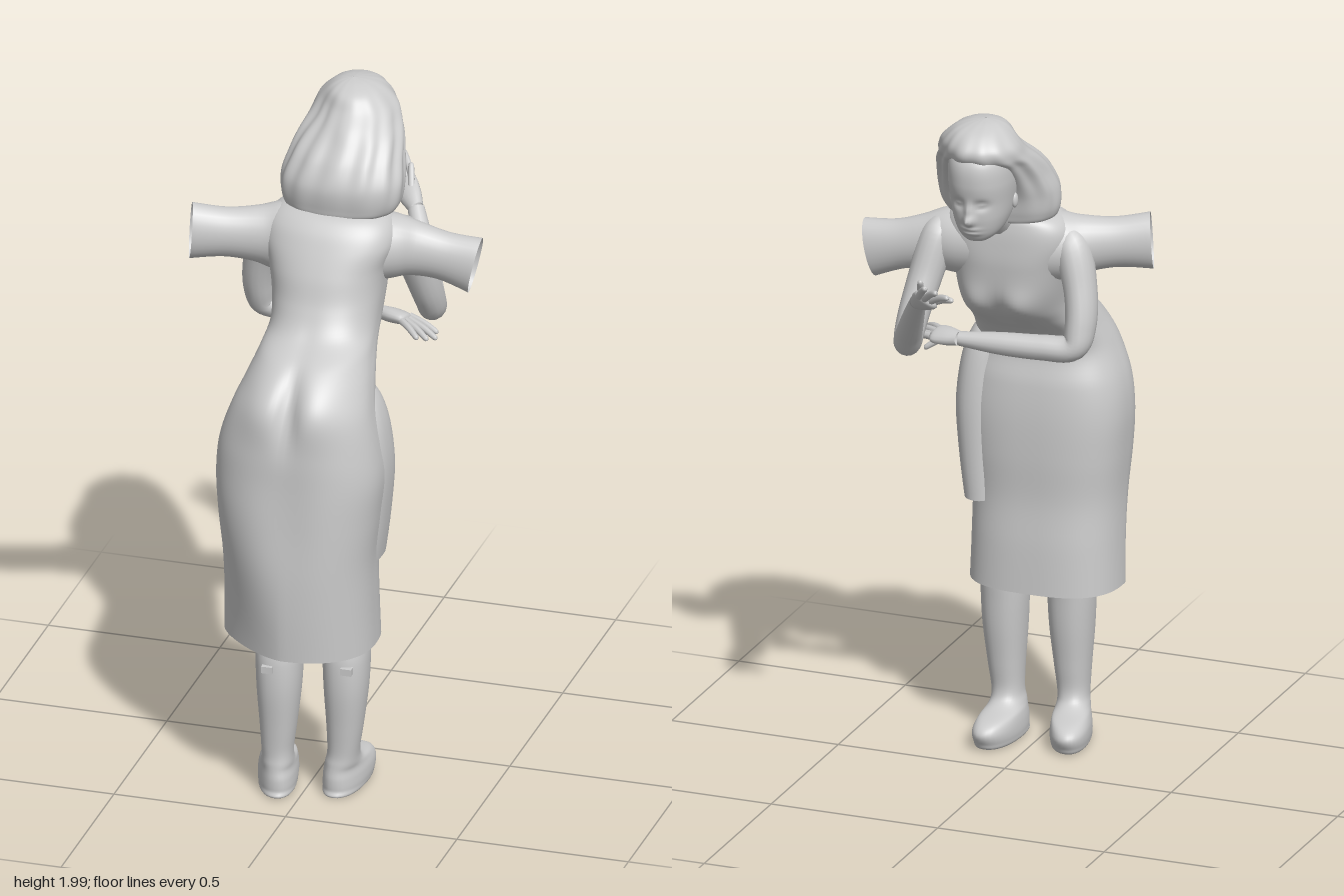
import * as THREE from 'three';

const mat = new THREE.MeshStandardMaterial({ color: 0xcccccc, side: THREE.DoubleSide });
const bell = (v, c, w) => Math.exp(-(((v - c) / w) ** 2));

// Smooth interpolation through rows of numbers, t in 0..1
function sample(rows, t) {
  const f = t * (rows.length - 1);
  const i = Math.min(Math.floor(f), rows.length - 2);
  const k = f - i;
  const at = (n) => rows[Math.max(0, Math.min(rows.length - 1, n))];
  return rows[0].map((_, c) => {
    const [a, b, d, e] = [at(i - 1)[c], at(i)[c], at(i + 1)[c], at(i + 2)[c]];
    return b + 0.5 * k * (d - a + k * (2 * a - 5 * b + 4 * d - e + k * (3 * (b - d) + e - a)));
  });
}

// Closed-ring surface: point(t, angle) -> [x, y, z]
function rings(name, steps, sides, point) {
  const pos = [], idx = [];
  for (let i = 0; i <= steps; i++) {
    for (let j = 0; j < sides; j++) {
      pos.push(...point(i / steps, (j / sides) * Math.PI * 2));
      if (i === steps) continue;
      const a = i * sides + j, b = i * sides + ((j + 1) % sides);
      idx.push(a, a + sides, b, b, a + sides, b + sides);
    }
  }
  const geo = new THREE.BufferGeometry();
  geo.setAttribute('position', new THREE.Float32BufferAttribute(pos, 3));
  geo.setIndex(idx);
  geo.computeVertexNormals();
  const mesh = new THREE.Mesh(geo, mat);
  mesh.name = name;
  return mesh;
}

// Stacked horizontal sections [y, xMin, xMax, zMin, zMax]; a lower power squares off the -z or +z half
function stack(name, rows, { steps = 60, sides = 48, power = 0.9, facePower = power, rule = null } = {}) {
  return rings(name, steps, sides, (t, a) => {
    const [y, x0, x1, z0, z1] = sample(rows, t);
    const e = Math.sin(a) < 0 ? facePower : power;
    const round = (v) => Math.sign(v) * Math.abs(v) ** e;
    const p = [(x0 + x1) / 2 + round(Math.cos(a)) * (x1 - x0) / 2, y,
      (z0 + z1) / 2 + round(Math.sin(a)) * (z1 - z0) / 2];
    if (rule) rule(p, a);
    return p;
  });
}

// Tapered limb through [x, y, z, radius along hint, radius across]
function limb(name, rows, hint, steps = 28, sides = 16) {
  return rings(name, steps, sides, (t, a) => {
    const s = sample(rows, t);
    const before = sample(rows, Math.max(0, t - 0.01)), after = sample(rows, Math.min(1, t + 0.01));
    const T = new THREE.Vector3(...[0, 1, 2].map((c) => after[c] - before[c])).normalize();
    const N = new THREE.Vector3(...hint).addScaledVector(T, -T.dot(new THREE.Vector3(...hint))).normalize();
    const B = new THREE.Vector3().crossVectors(T, N);
    return new THREE.Vector3(s[0], s[1], s[2])
      .addScaledVector(N, Math.cos(a) * s[3]).addScaledVector(B, -Math.sin(a) * s[4]).toArray();
  });
}

function hand(name, wrist, knuckles, tips, thumb, hint) {
  const g = new THREE.Group();
  g.name = name;
  const mix = (a, b, k) => a.map((v, i) => v + (b[i] - v) * k);
  g.add(limb('palm', [[...wrist, 0.022, 0.02], [...mix(wrist, knuckles, 0.5), 0.034, 0.021],
    [...knuckles, 0.035, 0.016], [...mix(wrist, knuckles, 1.12), 0.004, 0.004]], hint, 14));
  const mid = [0, 1, 2].map((c) => tips.reduce((s, p) => s + p[c], 0) / tips.length);
  const finger = (label, base, tip) => {
    const bend = mix(base, tip, 0.5);
    bend[1] += 0.004;
    g.add(limb(label, [[...base, 0.011, 0.011], [...bend, 0.01, 0.01],
      [...mix(base, tip, 0.92), 0.008, 0.008], [...tip, 0.001, 0.001]], hint, 12, 8));
  };
  tips.forEach((tip) => finger('finger', knuckles.map((v, c) => v + (tip[c] - mid[c]) * 0.5), tip));
  finger('thumb', mix(wrist, knuckles, 0.4), thumb);
  return g;
}

export function createModel() {
  const model = new THREE.Group();
  model.name = 'leaningWoman';

  // Long fitted dress, open at the hem, leaning towards -z
  model.add(stack('dress', [
    [0.485, -0.235, 0.205, 0.127, 0.5], [0.62, -0.232, 0.202, 0.133, 0.508], [0.75, -0.232, 0.203, 0.143, 0.512],
    [0.88, -0.242, 0.217, 0.14, 0.508], [1.0, -0.248, 0.228, 0.142, 0.5], [1.1, -0.237, 0.217, 0.152, 0.492],
    [1.2, -0.203, 0.196, 0.17, 0.472], [1.27, -0.175, 0.178, 0.11, 0.437], [1.33, -0.155, 0.16, 0.03, 0.378],
    [1.38, -0.148, 0.152, -0.025, 0.285], [1.45, -0.158, 0.153, -0.07, 0.238], [1.53, -0.175, 0.16, -0.085, 0.21],
    [1.6, -0.195, 0.182, -0.085, 0.178], [1.65, -0.185, 0.17, -0.08, 0.148], [1.68, -0.14, 0.13, -0.07, 0.11],
    [1.69, -0.05, 0.05, -0.04, 0.05],
  ], {
    steps: 100, sides: 96, facePower: 0.72,
    rule(p, a) {
      const [x, y] = p, s = Math.sin(a);
      if (s > 0) {
        p[2] += s * 0.024 * bell(Math.abs(x + 0.01), 0.085, 0.075) * bell(y, 1.25, 0.1);
        p[2] -= s * 0.024 * bell(x, -0.005, 0.03) * bell(y, 1.24, 0.1);
        p[2] -= s * 0.012 * bell(x, 0, 0.08) * bell(y, 0.9, 0.2);
        // cloth drawn in at the rear right corner towards the hem
        const pull = 0.05 * Math.max(0, -Math.cos(a)) * s * (1 - THREE.MathUtils.smoothstep(y, 0.5, 0.95));
        p[0] += pull;
        p[2] -= pull;
      } else {
        p[2] += s * 0.032 * bell(Math.abs(x), 0.07, 0.06) * bell(y, 1.4, 0.055);
      }
    },
  }));

  // Barely raised panel on the side of the skirt
  model.add(stack('sidePanel', [
    [0.73, 0.1, 0.206, 0.155, 0.33], [0.85, 0.1, 0.222, 0.152, 0.337], [1.0, 0.1, 0.234, 0.152, 0.342],
    [1.12, 0.1, 0.223, 0.162, 0.337], [1.2, 0.1, 0.2, 0.18, 0.31], [1.25, 0.12, 0.17, 0.21, 0.26],
  ], { steps: 20, sides: 32, power: 0.75, facePower: 0.9 }));

  // Wide open sleeves, flaring into the shoulders and at the cuffs
  model.add(limb('leftSleeve', [[0.08, 1.57, 0.025, 0.105, 0.11], [0.16, 1.567, 0, 0.094, 0.085],
    [0.22, 1.558, -0.016, 0.08, 0.062], [0.3, 1.542, -0.026, 0.072, 0.052], [0.39, 1.522, -0.032, 0.085, 0.052]],
  [0, 1, 0], 20, 28));
  model.add(limb('rightSleeve', [[-0.08, 1.575, 0.035, 0.105, 0.11], [-0.16, 1.577, 0.05, 0.098, 0.09],
    [-0.22, 1.583, 0.07, 0.082, 0.064], [-0.3, 1.589, 0.098, 0.073, 0.054], [-0.39, 1.595, 0.13, 0.083, 0.054]],
  [0, 1, 0], 20, 28));

  // Arm reaching forward and up
  model.add(limb('reachingArm', [[0.16, 1.64, -0.01, 0.02, 0.02], [0.185, 1.59, -0.03, 0.05, 0.055],
    [0.21, 1.47, -0.075, 0.047, 0.052], [0.225, 1.37, -0.125, 0.043, 0.05], [0.222, 1.315, -0.172, 0.04, 0.043],
    [0.195, 1.365, -0.225, 0.037, 0.041], [0.155, 1.44, -0.295, 0.031, 0.033], [0.115, 1.512, -0.362, 0.024, 0.022]],
  [1, 0, 0], 48));
  model.add(hand('reachingHand', [0.115, 1.512, -0.362], [0.06, 1.552, -0.432],
    [[-0.022, 1.565, -0.442], [-0.022, 1.585, -0.478], [0, 1.608, -0.51], [0.035, 1.615, -0.505]],
    [0.075, 1.61, -0.445], [1, 0.5, 0]));

  // Arm folded across the waist
  model.add(limb('foldedArm', [[-0.16, 1.64, 0.03, 0.02, 0.02], [-0.195, 1.59, 0.02, 0.055, 0.05],
    [-0.23, 1.47, -0.005, 0.055, 0.046], [-0.24, 1.375, -0.03, 0.052, 0.043], [-0.225, 1.315, -0.052, 0.044, 0.038],
    [-0.14, 1.308, -0.066, 0.038, 0.036], [-0.02, 1.308, -0.08, 0.032, 0.032], [0.1, 1.31, -0.092, 0.022, 0.02]],
  [0, 0, 1], 48));
  model.add(hand('foldedHand', [0.1, 1.31, -0.092], [0.175, 1.308, -0.075],
    [[0.272, 1.285, -0.06], [0.278, 1.28, -0.03], [0.26, 1.288, 0], [0.235, 1.295, 0.015]],
    [0.2, 1.272, -0.105], [0, 0.3, 1]));

  // Legs with shoes, toes turned out, and a small buckle behind each calf
  const legs = [
    ['leftLeg', 0.112, 0.28, -0.016, 0.05, 0.135, 0.36], ['rightLeg', -0.068, 0.33, -0.01, -0.22, -0.08, 0.41],
  ];
  for (const [name, x, z, shift, toeOut, buckleX, buckleZ] of legs) {
    const leg = new THREE.Group();
    leg.name = name;
    const row = (y, w, front, back, dx = 0) => [y, x + dx - w, x + dx + w, z + front, z + back];
    leg.add(stack('legAndShoe', [
      row(0.01, 0.001, -0.061, -0.059, shift), row(0.01, 0.049, -0.165, 0.064, shift),
      row(0.03, 0.058, -0.186, 0.068, shift), row(0.06, 0.058, -0.195, 0.068, shift),
      row(0.085, 0.053, -0.165, 0.064, shift), row(0.105, 0.047, -0.08, 0.062, shift * 0.8),
      row(0.14, 0.044, -0.05, 0.06, shift * 0.5), row(0.22, 0.051, -0.055, 0.068, shift * 0.2),
      row(0.33, 0.061, -0.068, 0.08), row(0.42, 0.065, -0.075, 0.08), row(0.5, 0.064, -0.08, 0.07),
      row(0.65, 0.07, -0.08, 0.08),
    ], {
      steps: 66, sides: 32,
      rule(p) {
        p[0] += toeOut * (z - p[2]) * (1 - THREE.MathUtils.smoothstep(p[1], 0.06, 0.16));
      },
    }));
    const buckle = new THREE.Mesh(new THREE.BoxGeometry(0.032, 0.02, 0.022), mat);
    buckle.name = 'buckle';
    buckle.position.set(buckleX, 0.412, buckleZ);
    leg.add(buckle);
    model.add(leg);
  }

  // Neck and face
  model.add(limb('neck', [[0, 1.62, 0.03, 0.085, 0.075], [0, 1.67, -0.04, 0.058, 0.058],
    [0, 1.72, -0.1, 0.053, 0.055], [0, 1.78, -0.14, 0.05, 0.05]], [1, 0, 0]));
  model.add(stack('head', [
    [1.66, -0.012, 0.012, -0.215, -0.19], [1.667, -0.035, 0.035, -0.235, -0.15], [1.69, -0.06, 0.06, -0.25, -0.1],
    [1.73, -0.077, 0.077, -0.262, -0.06], [1.78, -0.086, 0.086, -0.268, -0.04], [1.84, -0.092, 0.092, -0.28, -0.03],
    [1.9, -0.087, 0.087, -0.276, -0.04], [1.95, -0.06, 0.06, -0.24, -0.07],
  ], {
    steps: 70, sides: 80,
    rule(p, a) {
      const [x, y] = p;
      if (Math.sin(a) > 0) return;
      p[2] -= 0.026 * bell(x, 0, 0.014) * bell(y, 1.735, 0.016) + 0.014 * bell(x, 0, 0.011) * bell(y, 1.765, 0.022);
      p[2] += 0.012 * bell(Math.abs(x), 0.034, 0.018) * bell(y, 1.782, 0.014);
      p[2] -= 0.008 * bell(Math.abs(x), 0.034, 0.011) * bell(y, 1.782, 0.006);
      p[2] -= 0.008 * bell(x, 0, 0.024) * (bell(y, 1.708, 0.006) + bell(y, 1.694, 0.006));
    },
  }));
  for (const side of [-1, 1]) {
    const ear = new THREE.Mesh(new THREE.SphereGeometry(0.022, 16, 12), mat);
    ear.name = 'ear';
    ear.scale.set(0.4, 1, 0.6);
    ear.position.set(side * 0.085, 1.765, -0.135);
    model.add(ear);
  }

  // Shoulder-length hair swept back from the forehead, flatter beside the parting, with soft strands
  model.add(stack('hair', [
    [1.69, -0.06, 0.08, -0.05, 0.04], [1.672, -0.135, 0.15, -0.09, 0.095], [1.7, -0.16, 0.18, -0.105, 0.108],
    [1.76, -0.162, 0.187, -0.125, 0.112], [1.82, -0.145, 0.175, -0.165, 0.088], [1.87, -0.13, 0.162, -0.215, 0.05],
    [1.905, -0.117, 0.145, -0.268, 0.02], [1.94, -0.102, 0.125, -0.277, -0.02], [1.975, -0.068, 0.088, -0.242, -0.052],
    [1.993, -0.037, 0.047, -0.19, -0.097], [2.0, -0.002, 0.002, -0.142, -0.138],
  ], {
    steps: 70, sides: 120,
    rule(p, a) {
      const wave = 0.004 * Math.sin(a * 13 + p[1] * 14) * bell(p[1], 1.83, 0.11);
      const flat = 0.045 * Math.max(0, -Math.cos(a) * Math.sin(a)) * bell(p[1], 1.92, 0.05);
      p[0] += Math.cos(a) * (wave - flat);
      p[2] += Math.sin(a) * (wave - flat);
    },
  }));
  return model;
}
